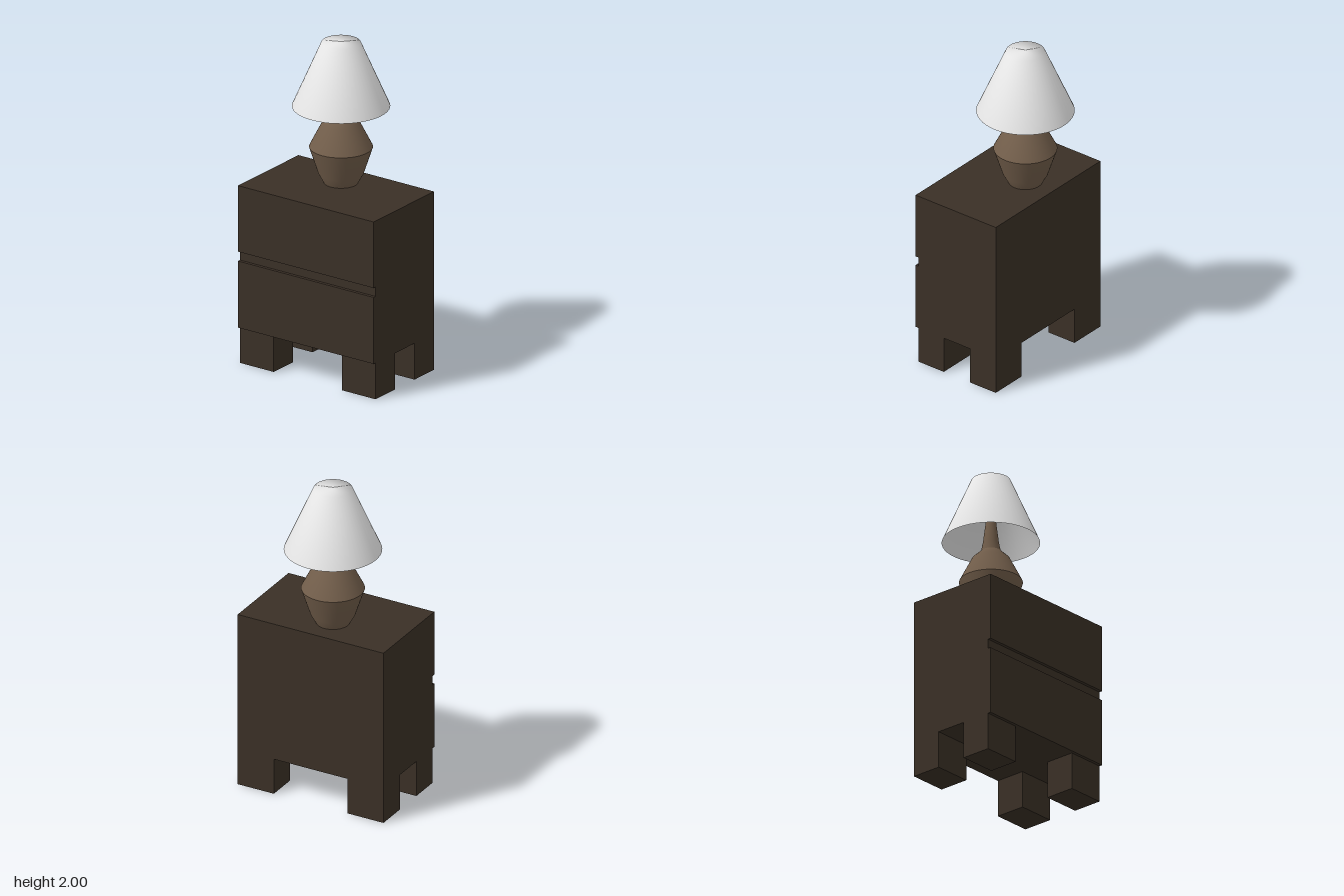
import * as THREE from 'three';

const SEGMENTS = 48;

export function createModel() {
  const model = new THREE.Group();
  model.name = 'nightstandWithLamp';

  const material = (name, color, side = THREE.FrontSide) => {
    const m = new THREE.MeshStandardMaterial({ color, side });
    m.name = name;
    return m;
  };
  const darkWood = material('darkWood', 0x3a3026);
  const lampBrown = material('lampBrown', 0x715d4a, THREE.DoubleSide);
  const shadeWhite = material('shadeWhite', 0xe6e6e6, THREE.DoubleSide);

  // Box given by its minimum and maximum corners
  const box = (name, parent, [x0, y0, z0], [x1, y1, z1]) => {
    const mesh = new THREE.Mesh(new THREE.BoxGeometry(x1 - x0, y1 - y0, z1 - z0), darkWood);
    mesh.position.set((x0 + x1) / 2, (y0 + y1) / 2, (z0 + z1) / 2);
    mesh.name = name;
    parent.add(mesh);
  };

  // Surface of revolution from [radius, height] pairs, bottom to top
  const turned = (name, parent, profile, mat) => {
    const points = profile.map(([r, y]) => new THREE.Vector2(r, y));
    const mesh = new THREE.Mesh(new THREE.LatheGeometry(points, SEGMENTS), mat);
    mesh.name = name;
    parent.add(mesh);
  };

  // Cabinet with two drawer fronts and a groove between them
  const nightstand = new THREE.Group();
  nightstand.name = 'nightstand';
  model.add(nightstand);
  box('cabinet', nightstand, [-0.49, 0.228, -0.255], [0.49, 1.12, 0.324]);
  box('lowerDrawer', nightstand, [-0.49, 0.228, 0.324], [0.49, 0.646, 0.344]);
  box('upperDrawer', nightstand, [-0.49, 0.705, 0.324], [0.49, 1.12, 0.344]);

  // Four square legs
  for (const [x0, x1, side] of [[-0.49, -0.247, 'Right'], [0.247, 0.49, 'Left']]) {
    box('front' + side + 'Leg', nightstand, [x0, 0, 0.133], [x1, 0.228, 0.324]);
    box('back' + side + 'Leg', nightstand, [x0, 0, -0.255], [x1, 0.228, -0.062]);
  }

  // Lamp: base split at its widest ring to keep that edge sharp
  const lamp = new THREE.Group();
  lamp.name = 'lamp';
  lamp.position.set(-0.037, 0, -0.056);
  model.add(lamp);
  turned('lampBaseLower', lamp, [[0.1, 1.12], [0.133, 1.18], [0.187, 1.345]], lampBrown);
  turned('lampBaseUpper', lamp, [[0.187, 1.345], [0.111, 1.495], [0.058, 1.545]], lampBrown);
  turned('lampStem', lamp, [[0.058, 1.545], [0.047, 1.6], [0.022, 1.8], [0, 1.8]], lampBrown);

  // Shade, open below and closed on top
  turned('lampShade', lamp, [[0.288, 1.6], [0.115, 2], [0, 2]], shadeWhite);

  return model;
}
